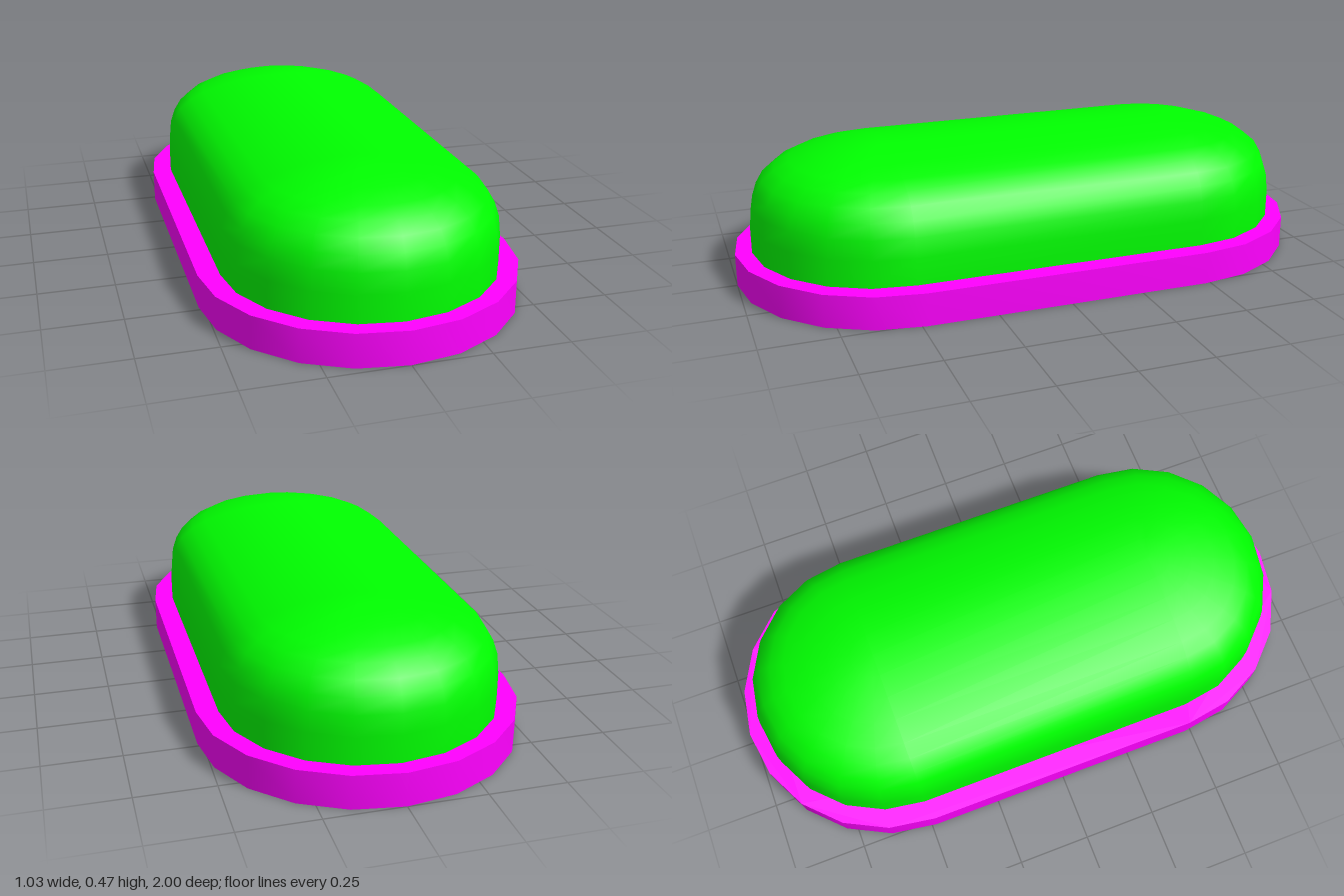
import * as THREE from 'three';
import { mergeVertices, toCreasedNormals } from 'three/addons/utils/BufferGeometryUtils.js';

const SEGMENTS = 10; // facets around each rounded end

// Stadium outline: two half circles of radius r, centred on z = +c and z = -c
function stadium(r, c) {
  const points = [];
  for (const end of [0, 1]) {
    for (let i = 0; i <= SEGMENTS; i++) {
      const a = Math.PI * (end + i / SEGMENTS);
      points.push(new THREE.Vector2(r * Math.cos(a), (end ? -c : c) + r * Math.sin(a)));
    }
  }
  return points;
}

// Skin of stadium rings stacked along a [radius, height] profile
function domeGeometry(profile, c) {
  const positions = [], index = [];
  const n = 2 * (SEGMENTS + 1);
  profile.forEach(([r, y], k) => {
    for (const p of stadium(r, c)) positions.push(p.x, y, p.y);
    if (k === 0) return;
    for (let i = 0; i < n; i++) {
      const a = (k - 1) * n + i, b = (k - 1) * n + (i + 1) % n;
      index.push(a, a + n, b, b, a + n, b + n);
    }
  });
  const geometry = new THREE.BufferGeometry();
  geometry.setAttribute('position', new THREE.Float32BufferAttribute(positions, 3));
  geometry.setIndex(index);
  const merged = mergeVertices(geometry, 1e-4);
  merged.computeVertexNormals();
  return merged;
}

export function createModel() {
  const group = new THREE.Group();
  const add = (name, geometry, color) => {
    const mesh = new THREE.Mesh(geometry, new THREE.MeshStandardMaterial({ color }));
    mesh.name = name;
    group.add(mesh);
  };

  // Flat base plate
  const plate = new THREE.ExtrudeGeometry(new THREE.Shape(stadium(0.517, 0.483)), {
    depth: 0.11, bevelEnabled: false,
  });
  plate.rotateX(Math.PI / 2).translate(0, 0.11, 0);
  add('basePlate', toCreasedNormals(plate, 0.6), 0xff00ff);

  // Rounded dome with a level ridge along its length
  const profile = [
    [0.448, 0.11], [0.448, 0.2], [0.441, 0.265], [0.425, 0.312], [0.4, 0.354],
    [0.358, 0.388], [0.308, 0.413], [0.23, 0.437], [0.153, 0.453], [0.075, 0.462], [0, 0.465],
  ];
  add('dome', domeGeometry(profile, 0.496), 0x00ff00);

  return group;
}
